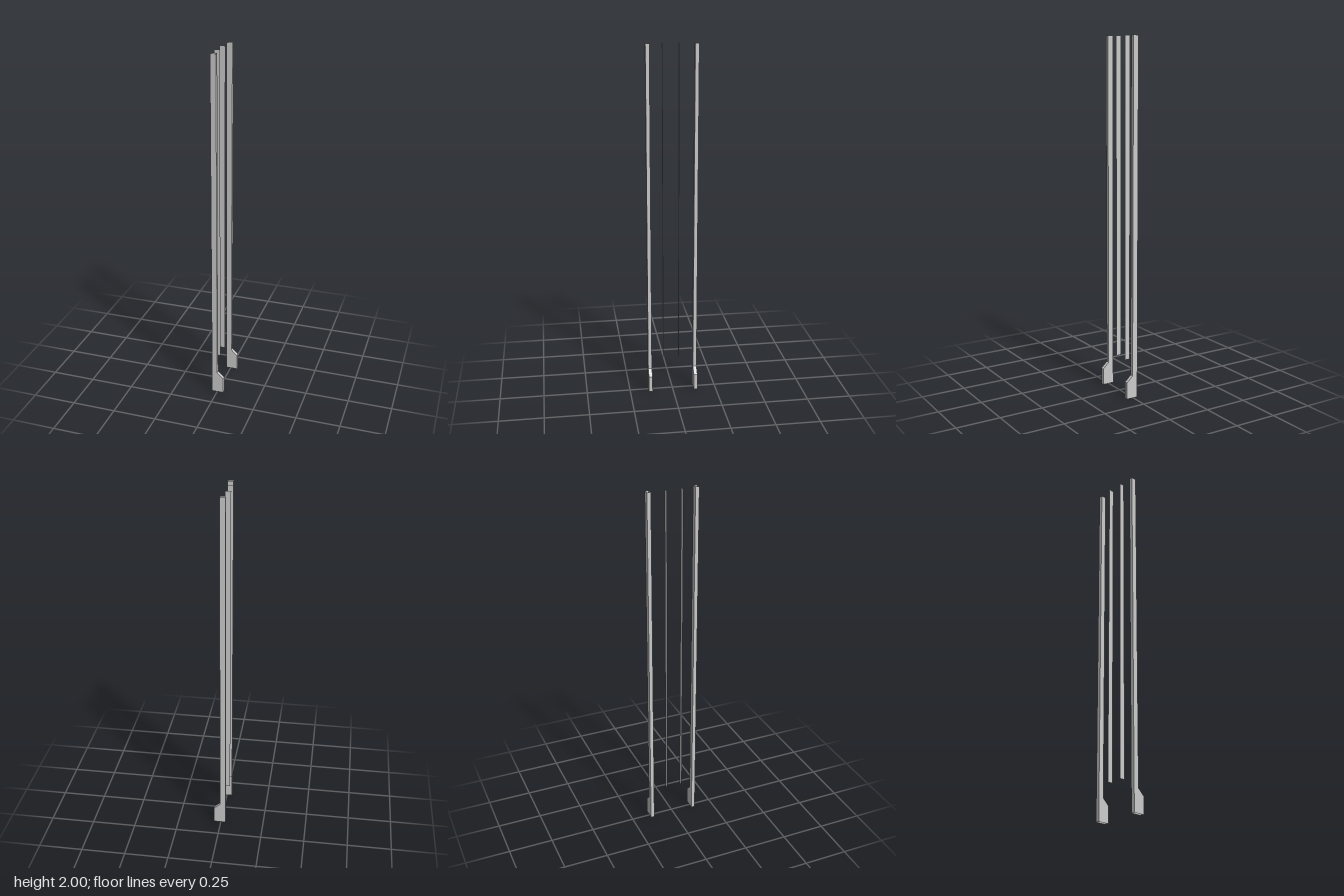
import * as THREE from 'three';

const material = new THREE.MeshStandardMaterial({ color: 0xcccccc, side: THREE.DoubleSide, flatShading: true });

// Extruded post outline with a flared foot; the hollow post is open at top and bottom
function postGeometry(depth) {
  const outline = [[-0.031, 0], [0.037, 0], [0.037, 0.095], [0, 0.13], [0, 2], [-0.031, 2]];
  const shape = new THREE.Shape(outline.map(([x, y]) => new THREE.Vector2(x, y)));
  const solid = new THREE.ExtrudeGeometry(shape, { depth, bevelEnabled: false }).toNonIndexed();
  solid.translate(0, 0, -depth / 2);
  const pos = solid.attributes.position, normal = solid.attributes.normal;
  const kept = [];
  for (let i = 0; i < pos.count; i += 3) {
    if (Math.abs(normal.getY(i)) > 0.99) continue;
    for (let j = i; j < i + 3; j++) kept.push(pos.getX(j), pos.getY(j), pos.getZ(j));
  }
  const open = new THREE.BufferGeometry();
  open.setAttribute('position', new THREE.Float32BufferAttribute(kept, 3));
  open.computeVertexNormals();
  return open;
}

export function createModel() {
  const group = new THREE.Group();
  const add = (name, geometry, x, y, z) => {
    const mesh = new THREE.Mesh(geometry, material);
    mesh.name = name;
    mesh.position.set(x, y, z);
    group.add(mesh);
  };

  // Outer posts with feet
  const post = postGeometry(0.021);
  add('frontPost', post, 0, 0, 0.131);
  add('backPost', post, 0.004, 0, -0.132);

  // Thin inner strips, raised off the ground
  const strip = new THREE.PlaneGeometry(0.032, 1.81);
  add('frontStrip', strip, -0.025, 1.095, 0.05);
  add('backStrip', strip, -0.025, 1.095, -0.04);

  return group;
}
